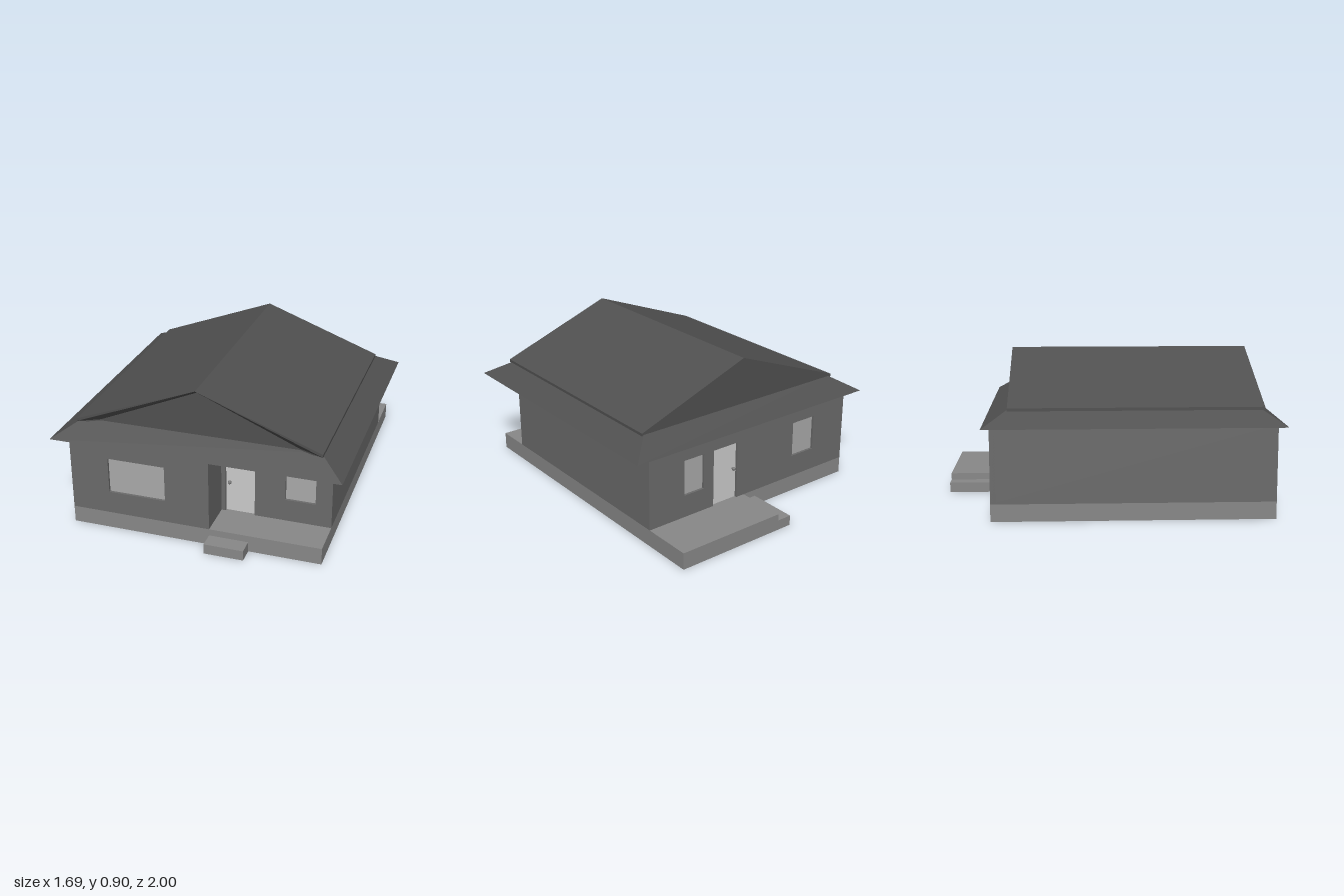
import * as THREE from 'three';

const mat = (color) => new THREE.MeshStandardMaterial({ color, flatShading: true });

export function createModel() {
  const house = new THREE.Group();
  house.name = 'house';
  const stone = mat(0x888888), plaster = mat(0x6b6b6b), roofing = mat(0x505050);
  const glass = mat(0xaaaaaa), wood = mat(0xcccccc), metal = mat(0x777777);

  const add = (name, geometry, material) => {
    const mesh = new THREE.Mesh(geometry, material);
    mesh.name = name;
    house.add(mesh);
    return mesh;
  };
  // Box given by its limits on each axis
  const box = (name, material, [x0, x1], [y0, y1], [z0, z1]) =>
    add(name, new THREE.BoxGeometry(x1 - x0, y1 - y0, z1 - z0), material)
      .position.set((x0 + x1) / 2, (y0 + y1) / 2, (z0 + z1) / 2);
  const outline = (points) => new THREE.Shape(points.map(([x, y]) => new THREE.Vector2(x, y)));
  const extrude = (shape, depth, z) =>
    new THREE.ExtrudeGeometry(shape, { depth, bevelEnabled: false }).translate(0, 0, z);

  const FLOOR = 0.1, EAVE = 0.54, WALL = 0.03;
  const X = 0.74, BACK = -0.7, FRONT = 0.905, RECESS = 0.685, CORNER = 0.09;
  const SILL = 0.235, HEAD = 0.45;

  // Foundation, back porch and steps
  box('foundation', stone, [-X, X], [0, FLOOR], [BACK, FRONT]);
  box('backPorch', stone, [0.06, X], [0, FLOOR], [-1, BACK]);
  box('backStep', stone, [-0.03, 0.06], [0, 0.06], [-1, BACK]);
  box('frontStep', stone, [CORNER, 0.32], [0, 0.06], [FRONT, 1]);

  // Plain walls, with the return wall beside the front entrance
  box('rightWall', plaster, [-X, -X + WALL], [FLOOR, EAVE], [BACK, FRONT]);
  box('leftWall', plaster, [X - WALL, X], [FLOOR, EAVE], [BACK, RECESS]);
  box('entranceReturnWall', plaster, [CORNER - WALL, CORNER], [FLOOR, EAVE], [RECESS - WALL, FRONT]);

  // Wall with openings: outer face at z, facing dir (+1 front, -1 back)
  function openWall(name, x0, x1, z, dir, windows, door) {
    const points = [[x0, FLOOR]];
    if (door) points.push([door[0], FLOOR], [door[0], HEAD], [door[1], HEAD], [door[1], FLOOR]);
    points.push([x1, FLOOR], [x1, EAVE], [x0, EAVE]);
    const shape = outline(points);
    const pane = [z - dir * 0.025, z - dir * 0.015].sort((a, b) => a - b);
    for (const [a, b] of windows) {
      shape.holes.push(outline([[a, SILL], [a, HEAD], [b, HEAD], [b, SILL]]));
      box(name + 'Window', glass, [a, b], [SILL, HEAD], pane);
    }
    add(name, extrude(shape, WALL, dir > 0 ? z - WALL : z), plaster);
    if (!door) return;
    box(name + 'Door', wood, door, [FLOOR, HEAD], pane);
    // Door knob on a short stem
    const stem = new THREE.CylinderGeometry(0.005, 0.005, 0.02, 8).rotateX(Math.PI / 2);
    add(name + 'KnobStem', stem, metal).position.set(door[0] + 0.025, 0.29, z - dir * 0.008);
    add(name + 'Knob', new THREE.SphereGeometry(0.011, 10, 8), metal)
      .position.set(door[0] + 0.025, 0.29, z);
  }
  const door = [0.115, 0.29];
  openWall('frontWall', -X, CORNER, FRONT, 1, [[-0.51, -0.17]]);
  openWall('entranceWall', CORNER, X, RECESS, 1, [[0.47, 0.645]], door);
  openWall('backWall', -X, X, BACK, -1, [[-0.49, -0.32], [0.36, 0.5]], door);

  // Sloping eaves: a box whose upper face is drawn in
  const eaves = new THREE.BoxGeometry(2, 1, 2);
  const ep = eaves.attributes.position;
  for (let i = 0; i < ep.count; i++) {
    const top = ep.getY(i) > 0, front = ep.getZ(i) > 0;
    ep.setXYZ(i, Math.sign(ep.getX(i)) * (top ? 0.695 : 0.843), top ? 0.63 : EAVE,
      front ? (top ? 0.8 : 0.943) : (top ? -0.595 : -0.74));
  }
  eaves.computeVertexNormals();
  add('eaves', eaves, roofing);

  // Gable roof slab, its front end cut back under the overhang
  const inner = [[0.575, 0.637], [-0.005, 0.885], [-0.585, 0.637]];
  const roof = extrude(outline([[-0.72, 0.62], [-0.585, 0.62], inner[2], inner[1], inner[0],
    [0.575, 0.62], [0.71, 0.62], [0.71, 0.637], [-0.005, 0.905], [-0.72, 0.637]]), 1.43, -0.6);
  const rp = roof.attributes.position;
  for (let i = 0; i < rp.count; i++) {
    const isInner = Math.abs(rp.getX(i)) < 0.6 && rp.getY(i) < 0.9;
    if (isInner && rp.getZ(i) > 0) rp.setZ(i, 0.8);
  }
  roof.computeVertexNormals();
  add('gableRoof', roof, roofing);

  // Gable infill at both ends
  add('gables', extrude(outline([[-0.585, 0.62], [0.575, 0.62], ...inner]), 1.4, -0.6), roofing);

  return house;
}
